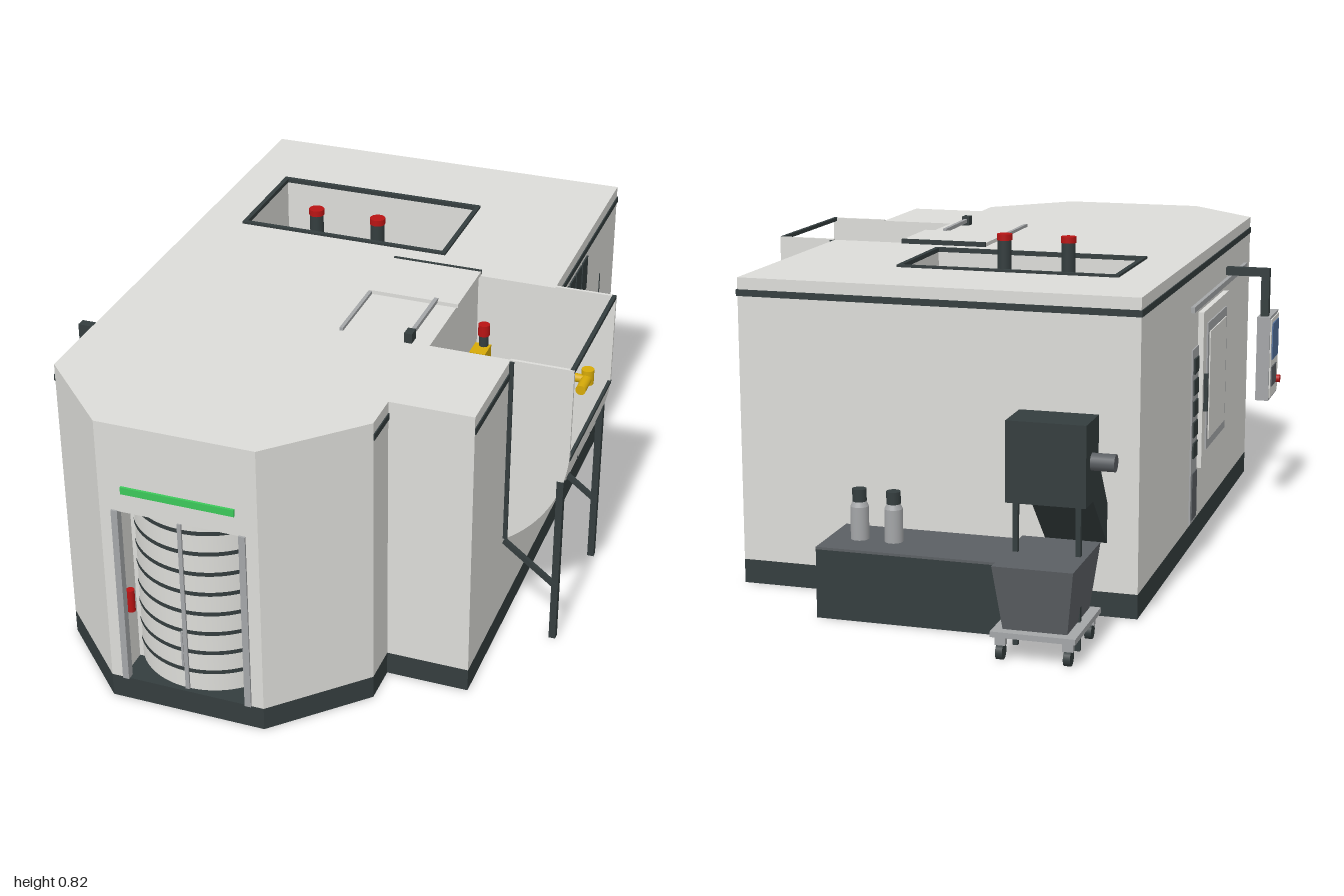
import * as THREE from 'three';

export function createModel() {
  const model = new THREE.Group();
  const mat = (name, color, side = THREE.FrontSide) => {
    const m = new THREE.MeshStandardMaterial({ color, side });
    m.name = name;
    return m;
  };
  const white = mat('lightPanel', 0xdcdcd8, THREE.DoubleSide);
  const dark = mat('darkTrim', 0x343d3e);
  const gray = mat('steelGray', 0x5b5f63);
  const silver = mat('silver', 0xa4a6a8);
  const red = mat('signalRed', 0xb81414);
  const green = mat('statusGreen', 0x3cc85a);
  const yellow = mat('warningYellow', 0xd6aa08);
  const blue = mat('blue', 0x54719c);

  const add = (name, geo, m, x = 0, y = 0, z = 0) => {
    const mesh = new THREE.Mesh(geo, m);
    mesh.name = name;
    mesh.position.set(x, y, z);
    model.add(mesh);
    return mesh;
  };
  // box given by its bounds
  const box = (name, m, x0, x1, y0, y1, z0, z1) =>
    add(name, new THREE.BoxGeometry(x1 - x0, y1 - y0, z1 - z0), m, (x0 + x1) / 2, (y0 + y1) / 2, (z0 + z1) / 2);
  // square bar between two points
  const bar = (name, m, a, b, t) => {
    const p = new THREE.Vector3(...a), q = new THREE.Vector3(...b);
    const mid = p.clone().lerp(q, 0.5);
    const mesh = add(name, new THREE.BoxGeometry(t, t, p.distanceTo(q)), m, mid.x, mid.y, mid.z);
    mesh.lookAt(q);
    return mesh;
  };
  const cyl = (name, m, r, h, x, y, z, axis = 'y', rTop = r) => {
    const g = new THREE.CylinderGeometry(rTop, r, h, 20);
    if (axis === 'x') g.rotateZ(Math.PI / 2);
    if (axis === 'z') g.rotateX(Math.PI / 2);
    return add(name, g, m, x, y, z);
  };
  // plan outline [x, z] extruded from y0 to y1
  const plan = pts => pts.map(([x, z]) => new THREE.Vector2(x, -z));
  const slab = (name, m, pts, y0, y1, hole) => {
    const s = new THREE.Shape(plan(pts));
    if (hole) s.holes.push(new THREE.Path(plan(hole)));
    const g = new THREE.ExtrudeGeometry(s, { depth: y1 - y0, bevelEnabled: false });
    g.rotateX(-Math.PI / 2);
    return add(name, g, m, 0, y0, 0);
  };

  // housing: layers with door recess, loading notch and roof hatch
  const back = [[-0.51, -0.625], [0.485, -0.625]];
  const notch = [[0.485, 0.02], [0.285, 0.02], [0.285, 0.41], [0.485, 0.41]];
  const shoulder = [[0.485, 0.69], [0.28, 0.69], [0.28, 0.79], [0.08, 0.99]];
  const recess = [[0.05, 0.99], [0.05, 0.84], [-0.28, 0.84], [-0.28, 0.99]];
  const end = [[-0.31, 0.99], [-0.51, 0.79]];
  const hatch = [[-0.385, -0.36], [0.16, -0.36], [0.16, -0.07], [-0.385, -0.07]];
  slab('base', dark, [...back, ...shoulder, ...end], 0, 0.06);
  slab('lowerHousing', white, [...back, ...shoulder, ...recess, ...end], 0.06, 0.2);
  slab('middleHousing', white, [...back, ...notch, ...shoulder, ...recess, ...end], 0.2, 0.535, hatch);
  slab('upperHousing', white, [...back, ...notch, ...shoulder, ...end], 0.535, 0.765, hatch);

  // dark trim line below the roof
  box('trimRightRear', dark, 0.485, 0.488, 0.72, 0.736, -0.625, 0.015);
  box('trimRightFront', dark, 0.485, 0.488, 0.72, 0.736, 0.42, 0.69);
  box('trimShoulder', dark, 0.28, 0.283, 0.72, 0.736, 0.69, 0.79);
  box('trimLeft', dark, -0.513, -0.51, 0.72, 0.736, -0.625, 0.79);
  box('trimBack', dark, -0.513, 0.488, 0.72, 0.736, -0.628, -0.625);

  // curved front doors with dark bands
  const doorR = 0.187, half = 1.027, doorX = -0.115, doorZ = 0.795;
  const arc = (r, h) => new THREE.CylinderGeometry(r, r, h, 32, 1, true, -half, half * 2);
  add('frontDoors', arc(doorR, 0.465), white, doorX, 0.2975, doorZ);
  for (let i = 0; i < 8; i++) add('doorBand', arc(doorR + 0.002, 0.011), dark, doorX, 0.12 + i * 0.0557, doorZ);
  box('doorSeam', silver, doorX - 0.005, doorX + 0.005, 0.065, 0.53, 0.97, 0.987);
  box('doorHandle', silver, doorX - 0.01, doorX - 0.005, 0.13, 0.23, 0.98, 0.989);
  for (const x of [-0.272, 0.042]) {
    box('doorJamb', silver, x - 0.008, x + 0.008, 0.06, 0.537, 0.975, 0.995);
    box('doorGuide', white, x - 0.008, x + 0.008, 0.06, 0.535, 0.87, 0.9);
  }
  cyl('recessLamp', red, 0.01, 0.06, -0.268, 0.26, 0.95);
  box('statusStrip', green, -0.252, 0.026, 0.587, 0.605, 0.99, 0.996);

  // roof hatch frame
  box('hatchFrame', dark, -0.395, 0.17, 0.76, 0.771, -0.37, -0.358);
  box('hatchFrame', dark, -0.395, 0.17, 0.76, 0.771, -0.073, -0.061);
  box('hatchFrame', dark, -0.395, -0.383, 0.76, 0.771, -0.37, -0.061);
  box('hatchFrame', dark, 0.158, 0.17, 0.76, 0.771, -0.37, -0.061);

  // machine inside the hatch
  box('machineBed', white, -0.28, 0.05, 0.2, 0.5, -0.36, -0.07);
  box('machineRear', white, -0.27, 0.04, 0.5, 0.56, -0.21, -0.1);
  box('machineBeam', blue, -0.28, 0.05, 0.5, 0.54, -0.3, -0.265);
  for (const [x0, x1] of [[-0.385, -0.28], [0.05, 0.16]]) {
    box('sideDrive', blue, x0, x1, 0.2, 0.45, -0.36, -0.07);
    for (const z of [-0.325, -0.215, -0.14]) box('driveRail', silver, x0, x1, 0.45, 0.458, z - 0.005, z + 0.005);
  }
  box('driveSwitch', red, -0.385, -0.36, 0.45, 0.5, -0.235, -0.19);
  for (const x of [-0.2, -0.03]) {
    box('lampFoot', white, x - 0.025, x + 0.025, 0.56, 0.7, -0.14, -0.08);
    cyl('lampPole', dark, 0.018, 0.105, x, 0.752, -0.105);
    cyl('lampCap', red, 0.02, 0.016, x, 0.812, -0.105);
  }

  // loading chute: end plates and curved floor
  const cx = 0.3, cy = 0.55, cr = 0.34;
  const plate = new THREE.Shape();
  plate.moveTo(0.485, 0.768);
  plate.lineTo(0.485, 0.265);
  plate.absarc(cx, cy, cr, -0.995, -0.05, false);
  plate.lineTo(0.64, 0.768);
  for (const z of [0.012, 0.41])
    add('chuteEndPlate', new THREE.ExtrudeGeometry(plate, { depth: 0.008, bevelEnabled: false, curveSegments: 24 }), white, 0, 0, z);
  const sheet = new THREE.Shape();
  sheet.absarc(cx, cy, cr, -Math.PI / 2, -0.07, false);
  sheet.absarc(cx, cy, cr - 0.007, -0.07, -Math.PI / 2, true);
  add('chuteFloor', new THREE.ExtrudeGeometry(sheet, { depth: 0.39, bevelEnabled: false, curveSegments: 28 }), white, 0, 0, 0.02);
  box('chuteSill', white, 0.47, 0.485, 0.2, 0.262, 0.02, 0.41);
  bar('chuteLip', dark, [0.637, 0.525, 0.015], [0.637, 0.525, 0.415], 0.008);
  bar('chuteTopBar', dark, [0.635, 0.764, 0.015], [0.635, 0.764, 0.415], 0.01);
  for (const z of [0.012, 0.418]) {
    bar('chuteEdge', dark, [0.49, 0.27, z], [0.49, 0.765, z], 0.011);
    box('chuteLeg', dark, 0.612, 0.629, 0, 0.46, z + (z < 0.1 ? 0.008 : -0.016), z + (z < 0.1 ? 0.026 : 0.002));
    bar('chuteBrace', dark, [0.487, 0.262, z], [0.62, 0.16, z], 0.012);
  }
  // sliding roof cover and its rod
  box('roofCover', white, 0.057, 0.29, 0.765, 0.775, 0.01, 0.205);
  box('coverRail', dark, 0.057, 0.29, 0.765, 0.777, 0.008, 0.016);
  box('coverGuide', silver, 0.057, 0.066, 0.765, 0.773, 0.2, 0.41);
  bar('coverRod', silver, [0.232, 0.776, 0.2], [0.232, 0.778, 0.4], 0.01);
  box('coverStop', dark, 0.222, 0.242, 0.765, 0.79, 0.385, 0.415);

  // loader arm above the chute
  cyl('loaderArm', yellow, 0.011, 0.3, 0.445, 0.556, 0.08, 'x');
  box('loaderFoot', yellow, 0.288, 0.33, 0.53, 0.585, 0.04, 0.095);
  cyl('loaderHead', yellow, 0.013, 0.08, 0.592, 0.556, 0.1, 'z');
  cyl('loaderTip', yellow, 0.016, 0.04, 0.592, 0.56, 0.07);
  cyl('loaderLampPole', dark, 0.012, 0.07, 0.312, 0.58, 0.048);
  cyl('loaderLamp', red, 0.015, 0.03, 0.312, 0.63, 0.048);

  // right side cabinets: vents, seams, handles, warning triangles
  for (let i = 0; i < 4; i++) {
    const z = -0.09 - i * 0.0625;
    box('vent', dark, 0.485, 0.489, 0.61, 0.705, z - 0.026, z + 0.026);
    const t = new THREE.CylinderGeometry(0.022, 0.022, 0.004, 3);
    t.rotateX(-Math.PI / 2).rotateZ(Math.PI);
    t.computeBoundingBox();
    if (t.boundingBox.max.y < -t.boundingBox.min.y) t.rotateZ(Math.PI);
    t.rotateY(Math.PI / 2);
    add('warningTriangle', t, yellow, 0.487, 0.455, -0.12 - i * 0.14);
    const h = [-0.165, -0.305, -0.44, -0.59][i];
    box('cabinetHandle', silver, 0.485, 0.491, 0.27, 0.325, h - 0.003, h + 0.003);
  }
  for (const z of [-0.19, -0.325, -0.465]) box('cabinetSeam', dark, 0.485, 0.487, 0.065, 0.575, z - 0.002, z + 0.002);

  // left side door with window, rail and socket strip
  box('sideDoor', white, -0.525, -0.51, 0.2, 0.615, 0.04, 0.385);
  box('doorFrame', silver, -0.529, -0.525, 0.24, 0.58, 0.08, 0.345);
  box('doorPane', white, -0.532, -0.529, 0.265, 0.555, 0.1, 0.325);
  box('sideDoorHandle', dark, -0.536, -0.525, 0.35, 0.45, 0.052, 0.062);
  box('doorRail', silver, -0.52, -0.51, 0.63, 0.645, -0.06, 0.7);
  box('socketStrip', silver, -0.514, -0.51, 0.065, 0.53, -0.04, 0.035);
  for (let i = 0; i < 5; i++) box('socket', dark, -0.518, -0.514, 0.24 + i * 0.056, 0.28 + i * 0.056, -0.028, 0.024);
  box('stripFoot', gray, -0.517, -0.514, 0.075, 0.2, -0.032, 0.028);

  // control panel on its arm
  box('panelArm', dark, -0.63, -0.51, 0.652, 0.674, 0.42, 0.444);
  box('panelDrop', dark, -0.63, -0.608, 0.53, 0.674, 0.42, 0.444);
  box('controlPanel', silver, -0.638, -0.602, 0.308, 0.542, 0.405, 0.542);
  box('panelFace', white, -0.641, -0.638, 0.315, 0.535, 0.412, 0.535);
  box('screen', blue, -0.644, -0.641, 0.42, 0.522, 0.425, 0.522);
  box('keypad', gray, -0.644, -0.641, 0.345, 0.4, 0.425, 0.495);
  cyl('stopButton', red, 0.011, 0.012, -0.646, 0.35, 0.515, 'x');

  // coolant tank with two pumps
  box('tank', dark, -0.255, 0.215, 0, 0.167, -0.825, -0.625);
  box('tankLid', gray, -0.255, 0.215, 0.167, 0.173, -0.825, -0.625);
  for (const x of [0.055, 0.14]) {
    cyl('pump', silver, 0.022, 0.08, x, 0.213, -0.73);
    cyl('pumpNeck', silver, 0.022, 0.015, x, 0.26, -0.73, 'y', 0.015);
    cyl('pumpCap', dark, 0.017, 0.03, x, 0.28, -0.73);
  }

  // chip conveyor: sloped chute, head and motor
  const chute = new THREE.Shape([[0.62, 0.175], [0.78, 0.335], [0.78, 0.5], [0.62, 0.27]].map(p => new THREE.Vector2(...p)));
  const cg = new THREE.ExtrudeGeometry(chute, { depth: 0.15, bevelEnabled: false });
  cg.rotateY(Math.PI / 2);
  add('conveyorChute', cg, dark, -0.435, 0, 0).geometry.translate(0, 0, 0);
  box('conveyorHead', dark, -0.45, -0.265, 0.335, 0.523, -0.887, -0.775);
  cyl('conveyorMotor', gray, 0.02, 0.06, -0.475, 0.43, -0.835, 'x');
  for (const x of [-0.43, -0.285]) box('conveyorPost', dark, x - 0.006, x + 0.006, 0, 0.34, -0.876, -0.864);

  // chip cart: tapered open bin on castors
  const bin = new THREE.CylinderGeometry(Math.SQRT1_2, Math.SQRT1_2 * 0.8, 1, 4, 1).toNonIndexed();
  bin.rotateY(Math.PI / 4);
  bin.computeVertexNormals();
  add('chipBin', bin, gray, -0.358, 0.145, -0.873).scale.set(0.185, 0.15, 0.245);
  box('cartDeck', silver, -0.455, -0.26, 0.055, 0.068, -0.99, -0.76);
  for (const x of [-0.435, -0.28]) for (const z of [-0.785, -0.972]) {
    cyl('castor', dark, 0.018, 0.016, x, 0.018, z, 'x');
    box('castorFork', silver, x - 0.012, x + 0.012, 0.034, 0.056, z - 0.008, z + 0.008);
  }
  return model;
}
